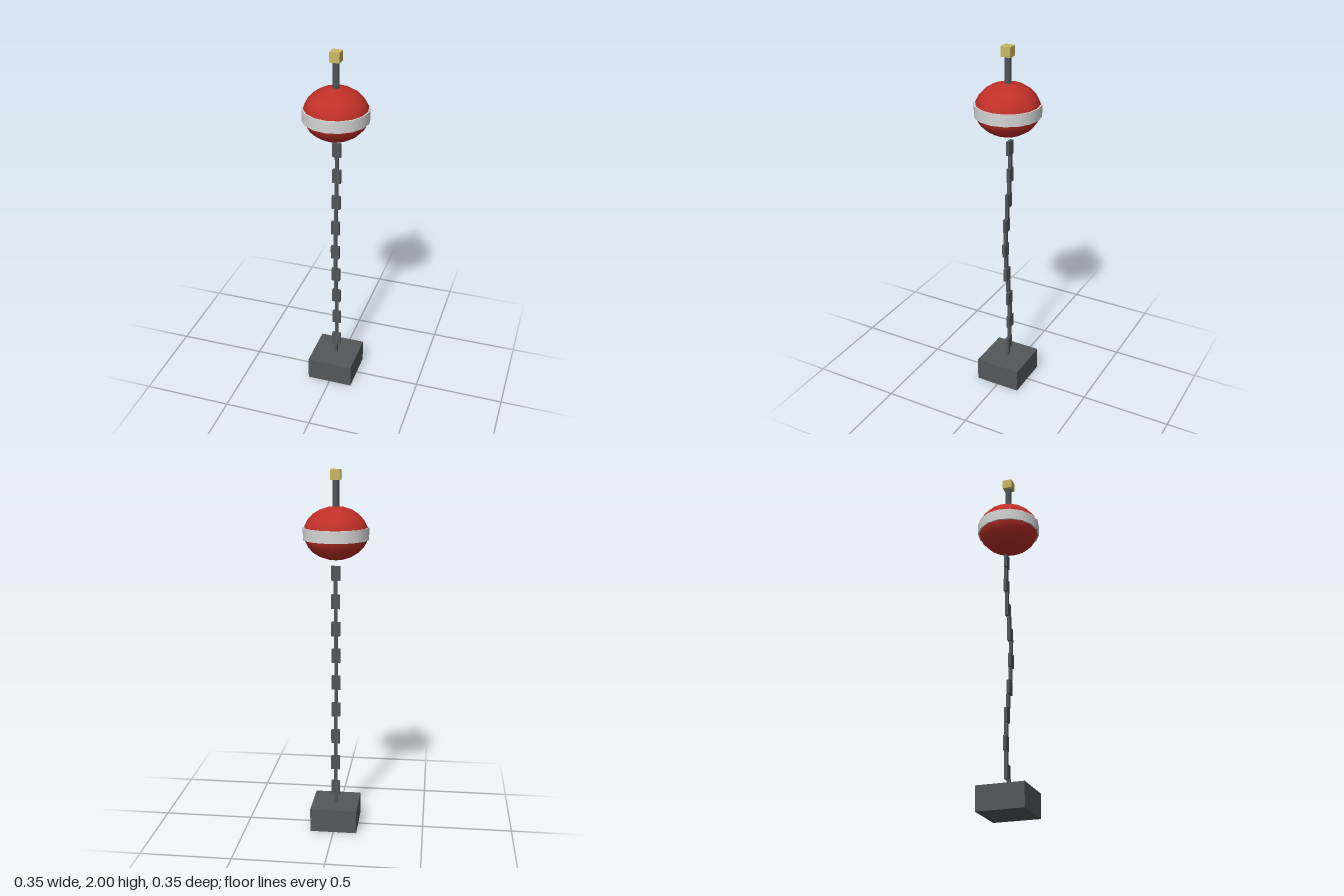
import * as THREE from 'three';

export function createModel() {
  const group = new THREE.Group();
  group.name = 'mooredBuoy';

  const material = (name, color) => {
    const m = new THREE.MeshStandardMaterial({ color });
    m.name = name;
    return m;
  };
  const stone = material('sinkerGrey', 0x54585b);
  const steel = material('steelGrey', 0x50565c);
  const red = material('buoyRed', 0xc03028);
  const white = material('bandWhite', 0xd6d6d6);
  const yellow = material('lampYellow', 0xcbb865);

  const add = (name, geometry, mat, y, z = 0) => {
    const mesh = new THREE.Mesh(geometry, mat);
    mesh.name = name;
    mesh.position.set(0, y, z);
    group.add(mesh);
    return mesh;
  };

  // Sinker block on the seabed
  add('sinker', new THREE.BoxGeometry(0.26, 0.132, 0.26), stone, 0.066);

  // Chain: alternating narrow and wide links, swaying gently in z
  const narrow = new THREE.BoxGeometry(0.018, 0.078, 0.018);
  const wide = new THREE.BoxGeometry(0.048, 0.078, 0.018);
  for (let i = 0; i < 18; i++) {
    add('chainLink', i % 2 ? wide : narrow, steel, 0.145 + i * 0.0771, -0.014 * Math.sin(i * 0.5));
  }

  // Squashed float with a raised band
  const float = add('float', new THREE.SphereGeometry(0.174, 16, 12), red, 1.668);
  float.scale.y = 0.815;
  add('band', new THREE.CylinderGeometry(0.177, 0.177, 0.064, 16), white, 1.667);

  // Mast and lamp
  add('mast', new THREE.CylinderGeometry(0.018, 0.018, 0.17, 8), steel, 1.87);
  add('lamp', new THREE.BoxGeometry(0.054, 0.054, 0.054), yellow, 1.973);

  return group;
}
